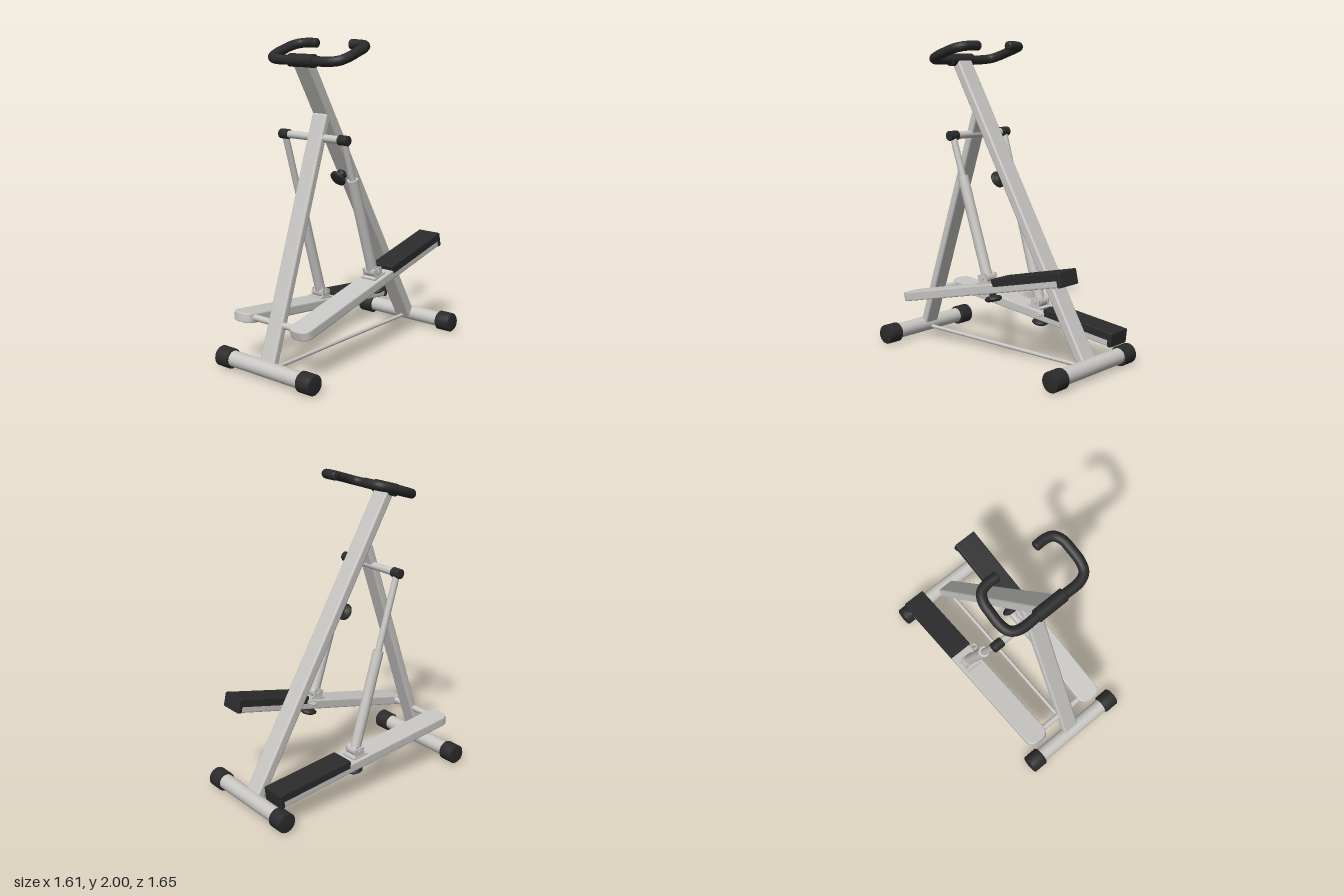
import * as THREE from 'three';
import { RoundedBoxGeometry } from 'three/addons/geometries/RoundedBoxGeometry.js';

const V = (x, y, z) => new THREE.Vector3(x, y, z);

export function createModel() {
  const metal = new THREE.MeshStandardMaterial({ color: 0xc8c7c4 });
  metal.name = 'silver paint';
  const rubber = new THREE.MeshStandardMaterial({ color: 0x2b2b2b });
  rubber.name = 'black rubber';

  const model = new THREE.Group();
  model.name = 'stepper';
  // The machine is built facing +z, then turned
  const machine = new THREE.Group();
  machine.name = 'machine';
  machine.rotation.y = -0.753;
  model.add(machine);

  const add = (parent, name, geometry, material, x = 0, y = 0, z = 0) => {
    const mesh = new THREE.Mesh(geometry, material);
    mesh.name = name;
    mesh.position.set(x, y, z);
    parent.add(mesh);
    return mesh;
  };
  // Round bar between two points
  const rod = (parent, name, a, b, r, material) => {
    const d = b.clone().sub(a);
    const mesh = add(parent, name, new THREE.CylinderGeometry(r, r, d.length(), 24), material);
    mesh.position.copy(a).lerp(b, 0.5);
    mesh.quaternion.setFromUnitVectors(V(0, 1, 0), d.normalize());
    return mesh;
  };
  // Rectangular tube in the middle plane
  const beam = (name, a, b, w, t) => {
    const d = b.clone().sub(a);
    const mesh = add(machine, name, new RoundedBoxGeometry(w, d.length(), t, 3, 0.014), metal);
    mesh.position.copy(a).lerp(b, 0.5);
    mesh.rotation.x = Math.atan2(d.z, d.y);
  };
  // Sleeve along x with bevelled rims
  const cap = (name, x, y, z, r, len) => {
    const h = len / 2, c = r * 0.14;
    const profile = [[0, -h], [r - c, -h], [r, -h + c], [r, h - c], [r - c, h], [0, h]];
    const g = new THREE.LatheGeometry(profile.map(p => new THREE.Vector2(...p)), 28);
    add(machine, name, g, rubber, x, y, z).rotation.z = Math.PI / 2;
  };
  const knobGeometry = new THREE.LatheGeometry(
    [[0, 0], [0.04, 0.002], [0.054, 0.012], [0.054, 0.022], [0.042, 0.032], [0.022, 0.036], [0.02, 0.05], [0.032, 0.054], [0.032, 0.066], [0, 0.066]]
      .map(p => new THREE.Vector2(...p)), 24);

  // Base feet
  for (const [name, z] of [['front', 0.71], ['rear', -0.715]]) {
    rod(machine, name + 'BaseTube', V(-0.37, 0.066, z), V(0.37, 0.066, z), 0.05, metal);
    for (const s of [-1, 1]) cap(name + 'FootCap', s * 0.332, 0.0635, z, 0.0635, 0.11);
  }
  rod(machine, 'baseTieRod', V(0, 0.052, -0.68), V(0, 0.052, 0.68), 0.012, metal);

  // Frame posts
  beam('mainPost', V(0, 0.06, -0.695), V(0, 1.868, 0.358), 0.127, 0.062);
  beam('frontPost', V(0, 0.06, 0.7), V(0, 1.55, 0.195), 0.115, 0.05);

  // Height adjusting knob and its stem on the main post
  const knob = new THREE.Group();
  knob.name = 'adjustingKnob';
  knob.position.set(0, 1.122, 0.055);
  knob.quaternion.setFromUnitVectors(V(0, 1, 0), V(0, 0.504, -0.864).normalize());
  machine.add(knob);
  add(knob, 'knobHead', knobGeometry, rubber);
  rod(knob, 'knobStem', V(0, 0.05, 0), V(0, 0.12, 0), 0.015, rubber);

  // Handlebar
  const half = [[0.14, 1.968, 0.08], [0.205, 1.968, 0.08], [0.252, 1.964, 0.095], [0.28, 1.953, 0.14],
    [0.286, 1.932, 0.21], [0.284, 1.906, 0.29], [0.264, 1.889, 0.34], [0.215, 1.881, 0.366], [0.1, 1.88, 0.369]];
  const left = half.map(p => V(...p));
  const right = half.map(([x, y, z]) => V(-x, y, z)).reverse();
  const barPath = new THREE.CatmullRomCurve3([...left, V(0, 1.88, 0.369), ...right]);
  add(machine, 'handlebar', new THREE.TubeGeometry(barPath, 120, 0.03, 16), rubber);
  for (const s of [-1, 1]) {
    const end = add(machine, 'gripEnd', new THREE.SphereGeometry(0.03, 16, 12), rubber, s * 0.14, 1.968, 0.08);
    end.scale.x = 0.4;
  }
  cap('handlebarClamp', 0, 1.88, 0.367, 0.04, 0.2);

  // Cross tube carrying the dampers
  const midX = -0.03, side = 0.232, topY = 1.41, topZ = 0.235;
  rod(machine, 'damperCrossTube', V(midX - 0.25, topY, topZ), V(midX + 0.25, topY, topZ), 0.024, metal);
  for (const s of [-1, 1]) cap('crossTubeCap', midX + s * 0.237, topY, topZ, 0.031, 0.072);

  // Pedal axle
  const pivotY = 0.325, pivotZ = 0.612;
  rod(machine, 'pedalAxle', V(midX - side, pivotY, pivotZ), V(midX + side, pivotY, pivotZ), 0.02, metal);

  // Arm outline seen from above, rounded at the pivot end
  const w = 0.072, r = 0.058, front = 0.05, back = -1.325;
  const outline = new THREE.Shape();
  outline.moveTo(-w, -back);
  outline.lineTo(-w, -front + r);
  outline.quadraticCurveTo(-w, -front, -w + r, -front);
  outline.lineTo(w - r, -front);
  outline.quadraticCurveTo(w, -front, w, -front + r);
  outline.lineTo(w, -back);
  const armGeometry = new THREE.ExtrudeGeometry(outline, {
    depth: 0.044, bevelThickness: 0.008, bevelSize: 0.006, bevelSegments: 2, curveSegments: 10 });
  armGeometry.rotateX(-Math.PI / 2).translate(0, -0.027, 0);

  const mountY = 0.062, mountZ = -0.7;
  for (const [name, s, tilt] of [['left', 1, 0.23], ['right', -1, -0.11]]) {
    const pedal = new THREE.Group();
    pedal.name = name + 'Pedal';
    pedal.position.set(midX + s * side, pivotY, pivotZ);
    pedal.rotation.x = tilt;
    machine.add(pedal);
    add(pedal, 'pedalArm', armGeometry, metal);

    // Foot pad with side rims and a deep heel
    add(pedal, 'footPad', new RoundedBoxGeometry(0.164, 0.03, 0.545, 2, 0.006), rubber, 0, 0.04, -1.073);
    for (const e of [-1, 1])
      add(pedal, 'padRim', new THREE.BoxGeometry(0.006, 0.025, 0.53), rubber, e * 0.079, 0.018, -1.075);
    add(pedal, 'padHeel', new RoundedBoxGeometry(0.164, 0.092, 0.03, 2, 0.006), rubber, 0, 0.009, -1.333);

    // Damper bracket
    add(pedal, 'bracketBase', new THREE.BoxGeometry(0.11, 0.012, 0.11), metal, 0, 0.03, mountZ);
    for (const e of [-1, 1])
      add(pedal, 'bracketCheek', new THREE.BoxGeometry(0.01, 0.06, 0.07), metal, e * 0.045, 0.055, mountZ);
    rod(pedal, 'bracketPin', V(-0.058, mountY, mountZ), V(0.058, mountY, mountZ), 0.014, metal);
    rod(pedal, 'damperEye', V(-0.036, mountY, mountZ), V(0.036, mountY, mountZ), 0.036, metal);

    // Knob below the arm and cord eyelet on the inner edge
    add(pedal, 'lowerKnob', knobGeometry, rubber, 0, -0.092, mountZ - 0.02);
    const eyelet = add(pedal, 'eyelet', new THREE.TorusGeometry(0.019, 0.006, 8, 20), metal, -s * 0.096, 0.01, -0.775);
    eyelet.rotation.x = Math.PI / 2;

    // Damper: piston rod above, cylinder below
    const bottom = V(0, mountY, mountZ).applyEuler(pedal.rotation).add(pedal.position);
    const top = V(midX + s * 0.237, topY, topZ);
    const joint = bottom.clone().add(top.clone().sub(bottom).setLength(0.65));
    rod(machine, name + 'DamperRod', joint, top, 0.021, metal);
    rod(machine, name + 'DamperCylinder', bottom, joint, 0.034, metal);
  }
  return model;
}
